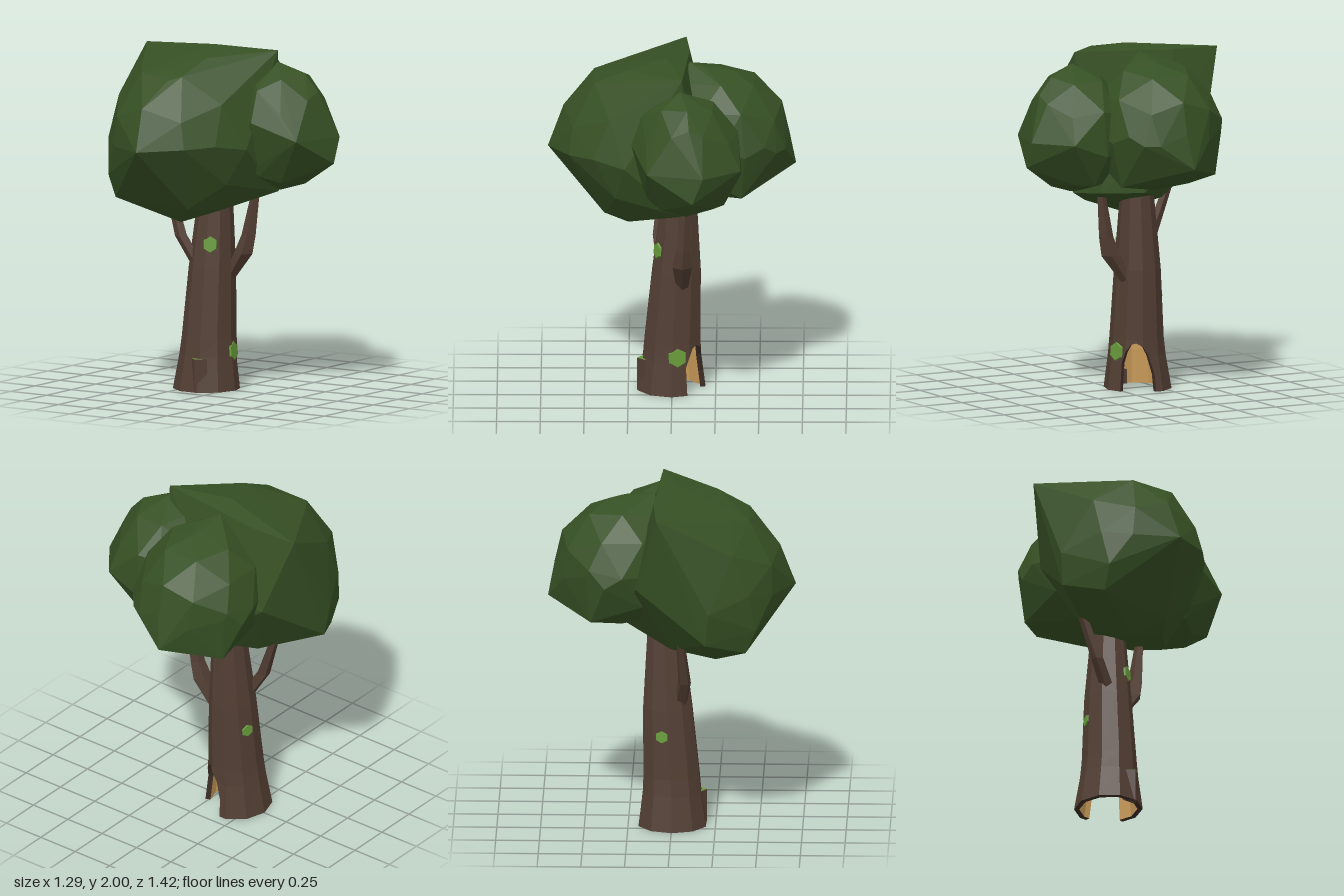
import * as THREE from 'three';
import { mergeVertices } from 'three/addons/utils/BufferGeometryUtils.js';
import { ConvexGeometry } from 'three/addons/geometries/ConvexGeometry.js';

const mat = (color, side = THREE.FrontSide) =>
  new THREE.MeshStandardMaterial({ color, side, flatShading: true });
const V = (x, y, z) => new THREE.Vector3(x, y, z);

// Faceted surface through rows of points, given bottom to top
function sheet(rows) {
  const pts = [];
  const tri = (...t) => {
    if (new THREE.Triangle(...t).getArea() > 1e-8) pts.push(...t);
  };
  for (let r = 0; r + 1 < rows.length; r++) {
    for (let c = 0; c + 1 < rows[r].length; c++) {
      const [a, b] = [rows[r][c], rows[r][c + 1]];
      const [d, e] = [rows[r + 1][c], rows[r + 1][c + 1]];
      tri(a, b, e);
      tri(a, e, d);
    }
  }
  const g = new THREE.BufferGeometry().setFromPoints(pts);
  g.computeVertexNormals();
  return g;
}

// Trunk profile: height, centre x, centre z, radius x, radius z
const RINGS = [
  [0, -0.147, 0.003, 0.193, 0.203],
  [0.2, -0.14, 0, 0.163, 0.174],
  [0.3, -0.137, -0.003, 0.152, 0.168],
  [0.7, -0.13, -0.025, 0.13, 0.147],
  [1.25, -0.115, -0.045, 0.085, 0.095],
];
const SIDES = 10;

// Point on the ten-sided trunk; angle runs from +x towards -z
function trunkPoint(deg, y, inset = 0) {
  let i = 0;
  while (i < RINGS.length - 2 && y > RINGS[i + 1][0]) i++;
  const [p, q] = [RINGS[i], RINGS[i + 1]];
  const t = (y - p[0]) / (q[0] - p[0]);
  const [, cx, cz, rx, rz] = p.map((v, k) => THREE.MathUtils.lerp(v, q[k], t));
  const step = 360 / SIDES;
  const rad = THREE.MathUtils.degToRad;
  const local = ((deg % step) + step) % step - step / 2;
  const k = Math.cos(rad(step / 2)) / Math.cos(rad(local));
  return V(cx + (rx - inset) * k * Math.cos(rad(deg)), y, cz - (rz - inset) * k * Math.sin(rad(deg)));
}

function branch(name, stations, material) {
  const rows = stations.map(([x, y, z, r]) =>
    Array.from({ length: 6 }, (_, i) => {
      const a = (i / 5) * Math.PI * 2;
      return V(x + r * Math.cos(a), y, z - r * Math.sin(a));
    }));
  const m = new THREE.Mesh(sheet(rows), material);
  m.name = name;
  return m;
}

// Faceted leaf mass: hull of a slightly uneven ellipsoid plus protruding corners
function leafMass(name, centre, radii, corners, undercut, material) {
  const ball = new THREE.IcosahedronGeometry(1, 1);
  ball.deleteAttribute('normal');
  ball.deleteAttribute('uv');
  const pos = mergeVertices(ball).attributes.position;
  const pts = corners.map((c) => V(...c));
  for (let i = 0; i < pos.count; i++) {
    const p = V().fromBufferAttribute(pos, i);
    p.multiplyScalar(0.98 + 0.025 * Math.sin(i * 7.3));
    if (p.y < -0.25 && p.z > 0) p.z *= undercut;
    pts.push(p.multiply(V(...radii)).add(V(...centre)));
  }
  const m = new THREE.Mesh(new ConvexGeometry(pts), material);
  m.name = name;
  return m;
}

export function createModel() {
  const tree = new THREE.Group();
  tree.name = 'hollowTree';
  const bark = mat(0x523e33);
  const barkBoth = mat(0x3d2d25, THREE.DoubleSide);
  const wood = mat(0xd3a25e, THREE.DoubleSide);
  const leaves = mat(0x365024);
  const moss = mat(0x669a3a, THREE.DoubleSide);
  const add = (name, geometry, material) => {
    const m = new THREE.Mesh(geometry, material);
    m.name = name;
    tree.add(m);
    return m;
  };

  // Trunk columns: angle and lower edge, raised where the arched hollow opens
  const columns = [
    [0, 0], [28, 0], [28, 0.16], [36, 0.225], [46, 0.27], [58, 0.28],
    [72, 0.26], [84, 0.21], [95, 0.1], [95, 0],
  ];
  for (let a = 108; a <= 360; a += 36) columns.push([a, 0]);
  const wall = (heights, inset) =>
    heights.map((y) => columns.map(([a, low]) => trunkPoint(a, Math.max(y, low), inset)));
  add('trunk', sheet(wall(RINGS.map((r) => r[0]), 0)), bark);
  const lining = wall([0, 0.2, 0.3, 0.4], 0.03);
  lining.push(columns.map(() => V(-0.135, 0.42, -0.005)));
  add('hollowLining', sheet(lining), wood);
  add('hollowRim', sheet([wall([0], 0)[0], wall([0], 0.03)[0]]), barkBoth);

  // Low root ledge at the front with a mossy top
  const ledge = new THREE.Shape([[-0.16, -0.155], [-0.1, -0.2], [-0.05, -0.15]]
    .map(([x, y]) => new THREE.Vector2(x, y)));
  add('rootLedge', new THREE.ExtrudeGeometry(ledge, { depth: 0.19, bevelEnabled: false })
    .rotateX(-Math.PI / 2), bark);
  add('ledgeMoss', new THREE.ShapeGeometry(ledge).rotateX(-Math.PI / 2), moss).position.y = 0.193;

  // Moss patches: angle, height, half width, half height
  for (const [a, y, w, h] of [[-62, 0.845, 0.044, 0.05], [11, 0.225, 0.058, 0.058], [165, 0.55, 0.042, 0.038]]) {
    const patch = add('mossPatch', new THREE.CylinderGeometry(0.9, 1, 0.01, 6).rotateX(Math.PI / 2), moss);
    const p = trunkPoint(a, y);
    const out = p.clone().sub(trunkPoint(a, y, 0.05)).normalize();
    patch.scale.set(w, h, 1);
    patch.position.copy(p).addScaledVector(out, 0.001);
    patch.lookAt(p.clone().add(out).add(V(0, 0.09, 0)));
  }

  // Branches
  tree.add(branch('leftBranch', [
    [-0.04, 0.63, -0.06, 0.035], [0.065, 0.79, -0.06, 0.058],
    [0.098, 0.9, -0.065, 0.044], [0.15, 1.25, -0.085, 0.018]], bark));
  tree.add(branch('rightBranch', [
    [-0.185, 0.73, 0.05, 0.04], [-0.275, 0.88, 0.075, 0.038], [-0.39, 1.2, 0.05, 0.024]], bark));

  // Crown: three overlapping leaf masses
  tree.add(leafMass('frontLeaves', [-0.16, 1.48, 0.22], [0.45, 0.48, 0.45], [
    [-0.62, 1.955, -0.08], [-0.33, 1.96, -0.1], [-0.08, 2, 0.03], [0.3, 1.985, -0.06],
    [0.02, 1.955, 0.26], [-0.36, 1.88, 0.36], [-0.1, 1.84, 0.48], [-0.18, 1.69, 0.62],
    [-0.16, 1.45, 0.71], [-0.645, 1.4, 0.22], [-0.62, 1.21, 0.2], [-0.5, 1.27, 0.49],
    [-0.49, 1.13, 0.43], [-0.4, 1.45, 0.58], [0.305, 1.17, -0.06], [0.305, 1.45, 0.27],
    [0.25, 1.5, 0.35], [0.09, 1.47, 0.59], [-0.16, 0.99, 0.25],
    [-0.48, 1.5, -0.2], [-0.05, 1.17, -0.26], [0.2, 1.18, -0.22],
  ], 0.74, leaves));
  tree.add(leafMass('backLeaves', [-0.1, 1.56, -0.28], [0.38, 0.39, 0.39], [
    [-0.13, 1.36, -0.71], [-0.1, 1.74, -0.63], [-0.08, 1.93, -0.35], [-0.48, 1.5, -0.38],
    [-0.44, 1.6, -0.47], [0.2, 1.55, -0.53], [0.25, 1.5, -0.42], [-0.4, 1.28, -0.46],
    [0.06, 1.5, -0.65], [0.14, 1.5, -0.6], [-0.27, 1.5, -0.62],
    [-0.1, 1.97, -0.1], [-0.05, 1.955, -0.19], [0.18, 1.24, -0.4],
  ], 1, leaves));
  tree.add(leafMass('sideLeaves', [0.31, 1.54, -0.09], [0.3, 0.37, 0.3], [
    [0.31, 1.92, -0.05], [0.645, 1.5, -0.18], [0.645, 1.35, -0.12], [0.48, 1.5, -0.395],
    [0.56, 1.5, 0.14], [0.31, 1.6, 0.23], [0.32, 1.18, -0.05], [0.55, 1.76, -0.1],
    [0.27, 1.42, -0.4], [0.28, 1.68, -0.38], [0.31, 1.78, 0.17], [0.3, 1.28, 0.14],
    [0.3, 1.24, -0.3],
  ], 1, leaves));
  return tree;
}
